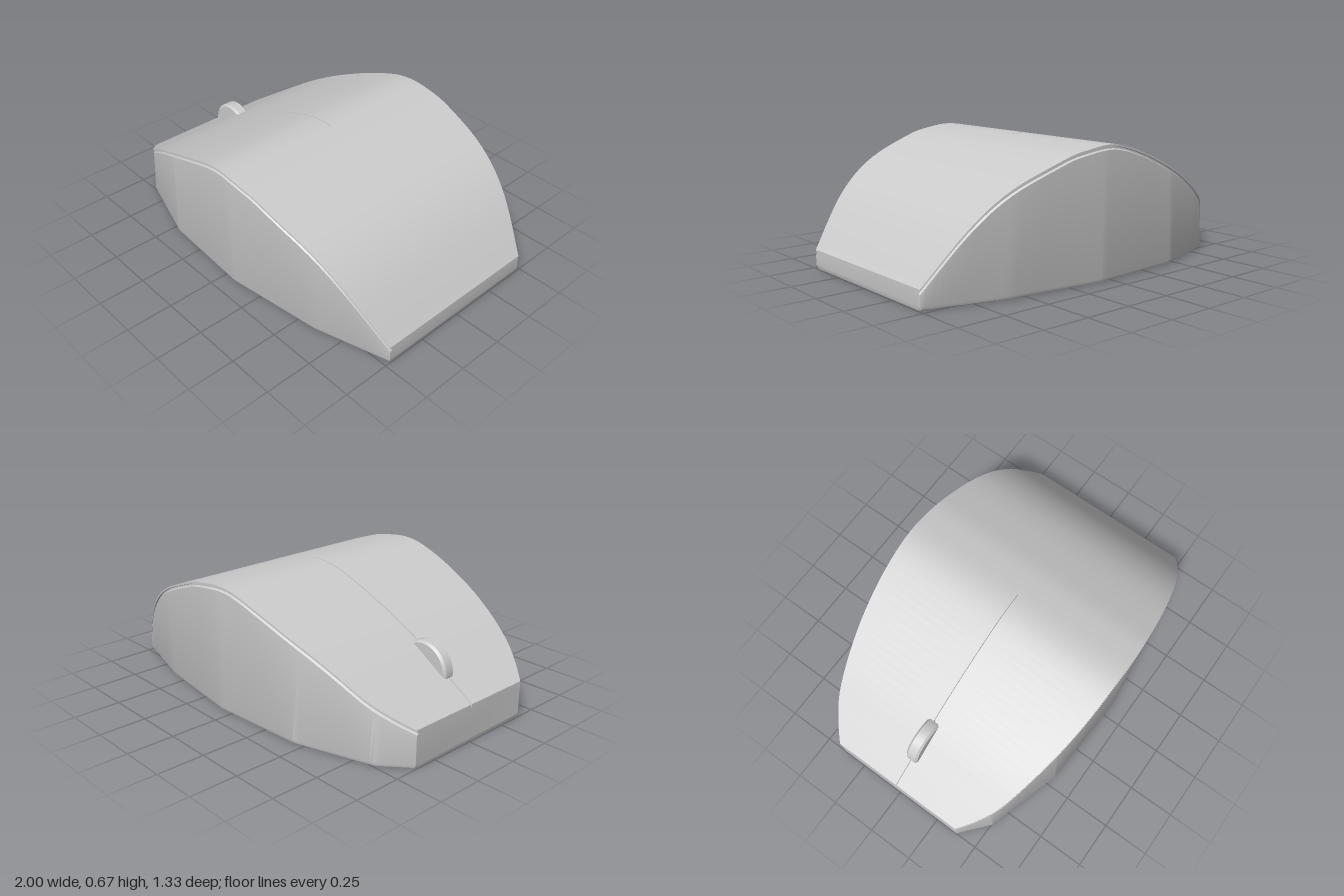
import * as THREE from 'three';
import { toCreasedNormals } from 'three/addons/utils/BufferGeometryUtils.js';

const toPoints = (list) => list.map(([x, y]) => new THREE.Vector2(x, y));
const smooth = (list) => new THREE.SplineCurve(toPoints(list)).getPoints(240);

// Linear lookup of y at x along a list of points
function lookup(points, x) {
  let i = 1;
  while (i < points.length - 1 && points[i].x < x) i++;
  const a = points[i - 1], b = points[i];
  return THREE.MathUtils.mapLinear(x, a.x, b.x, a.y, b.y);
}

// Side profile of the back, and half widths at the top and at the foot
const height = smooth([[-1, 0.197], [-0.83, 0.305], [-0.66, 0.412], [-0.47, 0.508], [-0.2, 0.617],
  [0, 0.669], [0.19, 0.654], [0.33, 0.618], [0.6, 0.507], [0.8, 0.35], [1, 0.1]]);
const topWidth = smooth([[-1, 0.38], [-0.9, 0.46], [-0.77, 0.53], [-0.5, 0.605], [-0.25, 0.645],
  [0, 0.66], [0.2, 0.66], [0.5, 0.632], [0.78, 0.57], [1, 0.475]]);
const footWidth = toPoints([[-1, 0.38], [-0.855, 0.505], [-0.45, 0.63], [0.07, 0.66], [0.6, 0.59], [1, 0.475]]);

// Half cross-section from the foot up to the centre seam, mirrored to a full ring
function section(x) {
  const h = lookup(height, x), t = lookup(topWidth, x), f = lookup(footWidth, x);
  const atEnd = Math.abs(x) > 0.999;
  const seam = x < 0.09 ? 0.01 : 0;
  const half = [
    [f - 0.02, atEnd ? 0.02 : 0], [f - 0.006, atEnd ? 0.02 : 0.006], [f, 0.021],
    [t, h - 0.026], [t - 0.01, h - 0.02], [t - 0.01, h - 0.012], [t, h - 0.01], [t, h],
    [0.004, h], [0.003, h - seam],
  ];
  const mirrored = half.map(([z, y]) => [-z, y]).reverse();
  return [...half, ...mirrored].map(([z, y]) => new THREE.Vector3(x, y, z));
}

function bodyGeometry() {
  const xs = [-0.994, -0.98, -0.855, -0.45, 0.07, 0.086, 0.092, 0.98, 0.994];
  for (let i = 0; i <= 50; i++) xs.push(-1 + i / 25);
  const stations = [...new Set(xs)].sort((a, b) => a - b);
  const rings = stations.map(section);
  const n = rings[0].length;
  const out = [];
  const tri = (...corners) => corners.forEach((p) => out.push(p.x, p.y, p.z));

  // Skin between neighbouring sections, underside included
  for (let i = 0; i < rings.length - 1; i++) {
    for (let j = 0; j < n; j++) {
      const k = (j + 1) % n;
      const a = rings[i][j], b = rings[i + 1][j], c = rings[i + 1][k], d = rings[i][k];
      tri(a, b, c);
      tri(a, c, d);
    }
  }
  // Flat end walls
  for (const [ring, side] of [[rings[0], -1], [rings[rings.length - 1], 1]]) {
    const flat = ring.map((p) => new THREE.Vector2(p.z, p.y));
    for (const [a, b, c] of THREE.ShapeUtils.triangulateShape(flat, [])) {
      const area = THREE.ShapeUtils.area([flat[a], flat[b], flat[c]]);
      if (area * side < 0) tri(ring[a], ring[b], ring[c]);
      else tri(ring[a], ring[c], ring[b]);
    }
  }
  const geometry = new THREE.BufferGeometry();
  geometry.setAttribute('position', new THREE.Float32BufferAttribute(out, 3));
  return toCreasedNormals(geometry, 0.45);
}

export function createModel() {
  const model = new THREE.Group();
  model.name = 'computerMouse';
  const material = new THREE.MeshStandardMaterial({ color: 0xcccccc });

  // Arched shell with side lip groove and a seam between the buttons
  const body = new THREE.Mesh(bodyGeometry(), material);
  body.name = 'body';
  model.add(body);

  // Scroll wheel with chamfered rims
  const profile = toPoints([[0, -0.035], [0.128, -0.035], [0.14, -0.024], [0.14, 0.024], [0.128, 0.035], [0, 0.035]]);
  const wheel = new THREE.Mesh(toCreasedNormals(new THREE.LatheGeometry(profile, 64), 0.4), material);
  wheel.name = 'scrollWheel';
  wheel.rotation.x = Math.PI / 2;
  wheel.position.set(-0.72, 0.3, 0);
  model.add(wheel);

  return model;
}
